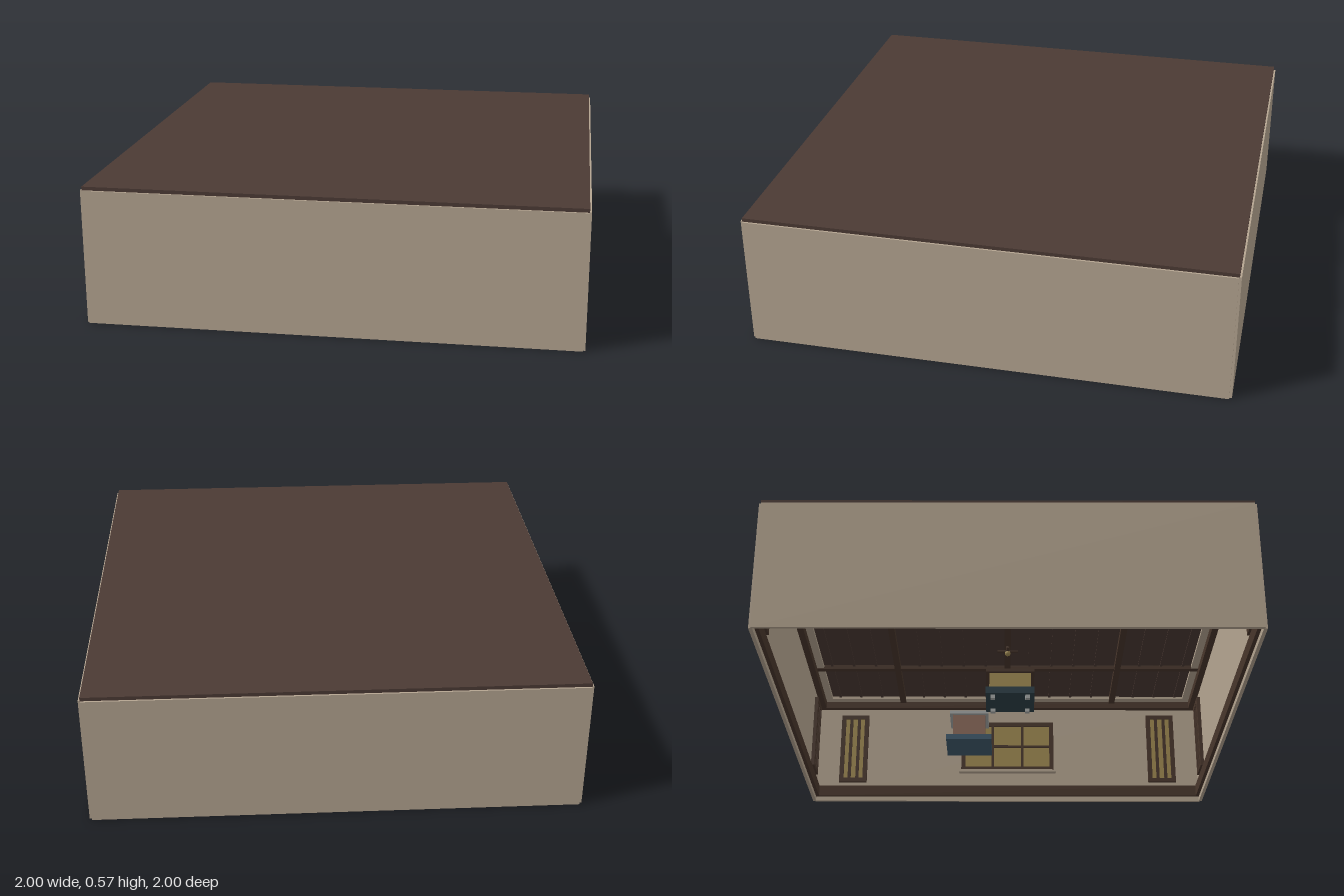
import * as THREE from 'three';

const mat = (name, color) => {
  const m = new THREE.MeshStandardMaterial({ color });
  m.name = name;
  return m;
};

export function createModel() {
  const wallMat = mat('plaster', 0xb5a591);
  const roofMat = mat('darkRoof', 0x4b3a34);
  const woodMat = mat('darkWood', 0x49372c);
  const goldMat = mat('warmGlass', 0xa08a52);
  const blueMat = mat('slateBlue', 0x3f5a6c);
  const tealMat = mat('darkTeal', 0x2c3f47);
  const clayMat = mat('clay', 0x8a6a5a);
  const greyMat = mat('paleGrey', 0xa5a8a6);

  const model = new THREE.Group();
  model.name = 'room';

  const box = (parent, name, material, w, h, d, x, y, z) => {
    const m = new THREE.Mesh(new THREE.BoxGeometry(w, h, d), material);
    m.name = name;
    m.position.set(x, y, z);
    parent.add(m);
    return m;
  };

  // Roof slab, also the ceiling
  box(model, 'roof', roofMat, 1.985, 0.015, 1.985, 0, 0.5665, 0);

  // Large window: glass with a 3 x 2 lattice and a sill, on the inner wall face
  const addWindow = (side) => {
    const g = new THREE.Group();
    g.name = 'window';
    const z = 0.978;
    box(g, 'windowGlass', goldMat, 0.46, 0.25, 0.006, 0, 0.295, z + 0.001);
    for (const s of [-1, 1]) {
      box(g, 'windowJamb', woodMat, 0.022, 0.27, 0.02, s * 0.229, 0.295, z);
      box(g, 'windowRail', woodMat, 0.48, 0.022, 0.02, 0, 0.295 + s * 0.124, z);
      box(g, 'windowMullion', woodMat, 0.013, 0.25, 0.016, s * 0.077, 0.295, z);
    }
    box(g, 'windowCrossbar', woodMat, 0.46, 0.013, 0.016, 0, 0.295, z);
    box(g, 'windowSill', wallMat, 0.5, 0.012, 0.035, 0, 0.155, z - 0.008);
    side.add(g);
  };

  // Tall narrow lattice panel near a corner
  const addPanel = (side, x) => {
    const g = new THREE.Group();
    g.name = 'latticePanel';
    g.position.set(x, 0.285, 0.978);
    box(g, 'panelGlass', goldMat, 0.12, 0.35, 0.006, 0, 0, 0.001);
    for (const s of [-1, 1]) {
      box(g, 'panelStile', woodMat, 0.022, 0.37, 0.02, s * 0.06, 0, 0);
      box(g, 'panelRail', woodMat, 0.142, 0.02, 0.02, 0, s * 0.175, 0);
      box(g, 'panelBar', woodMat, 0.016, 0.35, 0.016, s * 0.02, 0, 0);
    }
    side.add(g);
  };

  // Four walls with the same trim, turned about the centre
  for (let i = 0; i < 4; i++) {
    const side = new THREE.Group();
    side.name = 'wallSide';
    side.rotation.y = i * Math.PI / 2;
    box(side, 'wall', wallMat, 1.98, 0.559, 0.015, 0, 0.2795, 0.9925);
    box(side, 'baseboard', woodMat, 1.97, 0.055, 0.016, 0, 0.05, 0.977);
    box(side, 'crownMoulding', woodMat, 1.97, 0.035, 0.03, 0, 0.525, 0.97);
    box(side, 'crownLip', wallMat, 1.94, 0.014, 0.05, 0, 0.55, 0.945);
    for (const x of [-0.8, 0.8]) addPanel(side, x);
    if (i % 2) addWindow(side);
    model.add(side);
  }

  // Ceiling beams in both directions
  for (const p of [-0.55, 0, 0.55]) {
    box(model, 'ceilingBeam', woodMat, 1.92, 0.025, 0.03, 0, 0.547, p);
    box(model, 'crossBeam', woodMat, 0.03, 0.021, 1.92, p, 0.549, 0);
  }

  // Thin ceiling battens
  for (let z = -0.88; z < 0.9; z += 0.11) {
    box(model, 'ceilingBatten', roofMat, 1.92, 0.006, 0.012, 0, 0.556, z);
  }

  // Ceiling lamps with four short arms
  for (const x of [-0.27, 0.27]) {
    const lamp = new THREE.Group();
    lamp.name = 'ceilingLamp';
    lamp.position.set(x, 0, 0);
    const stem = new THREE.Mesh(new THREE.CylinderGeometry(0.008, 0.008, 0.04, 10), woodMat);
    stem.name = 'lampStem';
    stem.position.y = 0.525;
    lamp.add(stem);
    box(lamp, 'lampArm', woodMat, 0.1, 0.008, 0.012, 0, 0.508, 0);
    box(lamp, 'lampArm', woodMat, 0.012, 0.008, 0.1, 0, 0.508, 0);
    const bulb = new THREE.Mesh(new THREE.SphereGeometry(0.014, 12, 8), goldMat);
    bulb.name = 'lampBulb';
    bulb.position.y = 0.498;
    lamp.add(bulb);
    model.add(lamp);
  }

  // Pedestal on a blue plinth
  const pedestal = new THREE.Group();
  pedestal.name = 'pedestal';
  pedestal.position.set(0.29, 0, -0.18);
  box(pedestal, 'plinth', blueMat, 0.21, 0.025, 0.21, 0, 0.03, 0);
  box(pedestal, 'pedestalBody', clayMat, 0.15, 0.11, 0.15, 0, 0.0975, 0);
  box(pedestal, 'pedestalTop', greyMat, 0.18, 0.015, 0.18, 0, 0.16, 0);
  model.add(pedestal);

  // Low cabinet on four feet
  const cabinet = new THREE.Group();
  cabinet.name = 'cabinet';
  cabinet.position.set(-0.23, 0, 0.01);
  box(cabinet, 'cabinetBase', tealMat, 0.21, 0.03, 0.21, 0, 0.035, 0);
  box(cabinet, 'cabinetBody', goldMat, 0.18, 0.07, 0.18, 0, 0.085, 0);
  box(cabinet, 'cabinetTop', woodMat, 0.21, 0.015, 0.21, 0, 0.1275, 0);
  for (const x of [-1, 1]) for (const z of [-1, 1]) {
    box(cabinet, 'cabinetFoot', greyMat, 0.02, 0.015, 0.02, x * 0.075, 0.0125, z * 0.075);
  }
  model.add(cabinet);

  return model;
}
